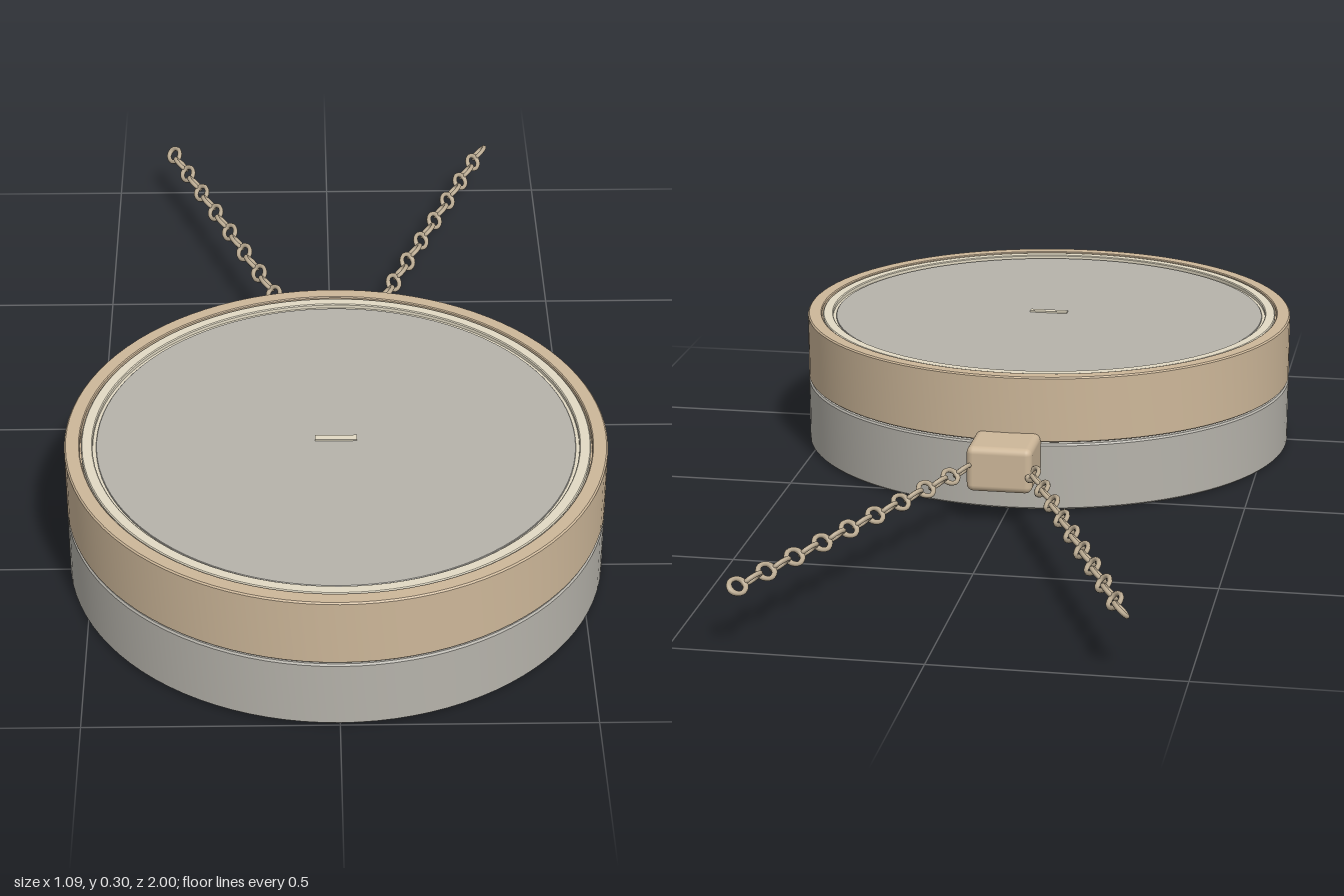
import * as THREE from 'three';
import { toCreasedNormals } from 'three/addons/utils/BufferGeometryUtils.js';
import { RoundedBoxGeometry } from 'three/addons/geometries/RoundedBoxGeometry.js';

const material = (name, color) => {
  const m = new THREE.MeshStandardMaterial({ color });
  m.name = name;
  return m;
};

export function createModel() {
  const tan = material('tan', 0xcdb799);
  const grey = material('grey', 0xb6b3ab);
  const cream = material('cream', 0xe2dac4);
  const steel = material('chain metal', 0xbbab92);

  const model = new THREE.Group();
  model.name = 'roundPendant';
  const caseGroup = new THREE.Group();
  caseGroup.name = 'case';
  caseGroup.position.z = 0.453;
  model.add(caseGroup);

  const add = (parent, name, geometry, mat, x = 0, y = 0, z = 0) => {
    const mesh = new THREE.Mesh(geometry, mat);
    mesh.name = name;
    mesh.position.set(x, y, z);
    parent.add(mesh);
    return mesh;
  };
  const turned = (profile) => toCreasedNormals(
    new THREE.LatheGeometry(profile.map(([r, y]) => new THREE.Vector2(r, y)), 96), 0.5);

  // Lower half: closed disc with small bevels
  add(caseGroup, 'lowerCase', turned([
    [0, 0.002], [0.543, 0.002], [0.547, 0.006], [0.547, 0.145], [0.544, 0.149], [0, 0.149],
  ]), grey);
  add(caseGroup, 'baseMark', new THREE.BoxGeometry(0.16, 0.004, 0.012), tan, -0.02, 0.002, 0.415);

  // Narrow core seen in the gap between the halves
  add(caseGroup, 'seamCore', new THREE.CylinderGeometry(0.48, 0.48, 0.02, 96, 1, true), grey, 0, 0.151);

  // Upper half: bevelled shell with a shallow recess on top
  add(caseGroup, 'upperCase', turned([
    [0, 0.153], [0.545, 0.153], [0.547, 0.155], [0.547, 0.294], [0.544, 0.297],
    [0.518, 0.297], [0.516, 0.295], [0.516, 0.28], [0, 0.28],
  ]), tan);

  // Trim ring and face disc inside the recess
  add(caseGroup, 'trimRing', turned([
    [0.513, 0.28], [0.513, 0.293], [0.511, 0.295], [0.492, 0.295], [0.49, 0.293], [0.49, 0.286],
    [0.483, 0.286],
  ]), cream);
  add(caseGroup, 'faceDisc', turned([
    [0.483, 0.28], [0.483, 0.288], [0.482, 0.289], [0, 0.289],
  ]), grey);
  add(caseGroup, 'centreMark', new THREE.BoxGeometry(0.084, 0.005, 0.016), cream, 0, 0.29, 0);

  // Chain holder at the back
  add(model, 'chainHolder', new RoundedBoxGeometry(0.14, 0.099, 0.14, 3, 0.015), tan, 0, 0.123, -0.138);

  // Two diverging chains of links tilted to either side in turn
  const linkCount = 18;
  const linkGeometry = new THREE.TorusGeometry(0.016, 0.005, 8, 20);
  linkGeometry.scale(1.4, 1, 1);
  for (const side of [1, -1]) {
    const chain = new THREE.Group();
    chain.name = side > 0 ? 'leftChain' : 'rightChain';
    chain.position.set(side * 0.065, 0.123, -0.188);
    chain.rotation.y = Math.atan2(0.81, side * 0.312);
    for (let i = 0; i < linkCount; i++) {
      const link = add(chain, 'chainLink', linkGeometry, steel, 0.028 + i * 0.0477);
      link.rotation.x = (i % 2 ? 1 : -1) * Math.PI / 4;
    }
    model.add(chain);
  }
  return model;
}
